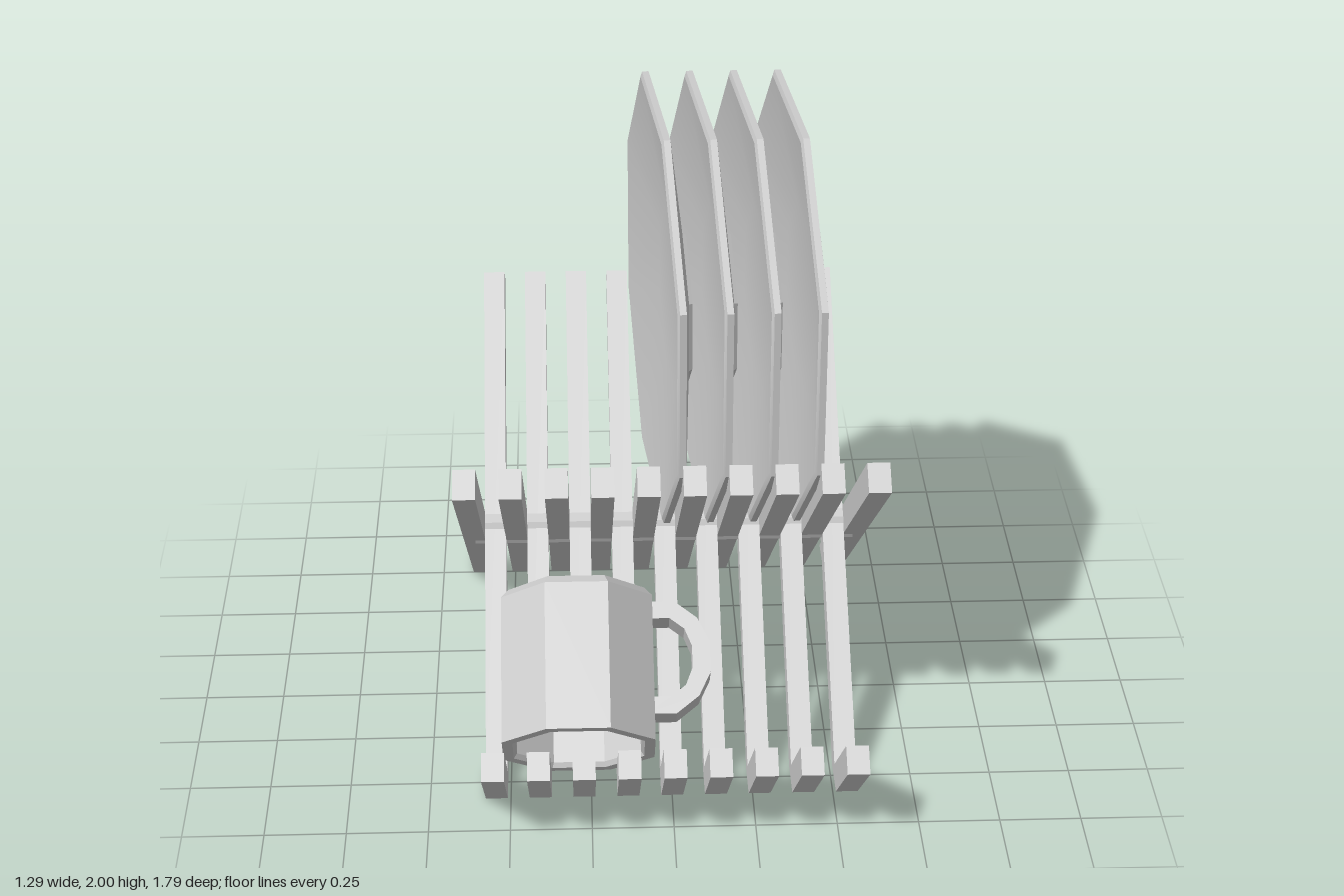
import * as THREE from 'three';
import { toCreasedNormals } from 'three/addons/utils/BufferGeometryUtils.js';

const material = new THREE.MeshStandardMaterial({ color: 0xcccccc });
const PITCH = 0.136; // spacing of slats and plates
const SLAT = PITCH / 2;

const toShape = (pts) => new THREE.Shape(pts.map(([a, b]) => new THREE.Vector2(a, b)));

function addMesh(parent, name, geometry) {
  const mesh = new THREE.Mesh(geometry, material);
  mesh.name = name;
  parent.add(mesh);
  return mesh;
}

// Slat cut from a (z, y) side outline, centred on x
function slatGeometry(outline) {
  const g = new THREE.ExtrudeGeometry(toShape(outline), { depth: SLAT, bevelEnabled: false });
  return g.rotateY(-Math.PI / 2).translate(SLAT / 2, 0, 0);
}

// Eight-sided turned form; profile radii are measured to the flats
function octagonLathe(profile) {
  const k = 1 / Math.cos(Math.PI / 8);
  const pts = profile.map(([r, y]) => new THREE.Vector2(r * k, y));
  return toCreasedNormals(new THREE.LatheGeometry(pts, 8, Math.PI / 8), 0.4);
}

function addRow(parent, name, geometry, count) {
  for (let i = 0; i < count; i++) {
    addMesh(parent, name, geometry).position.x = (i - (count - 1) / 2) * PITCH;
  }
}

function createRack() {
  const rack = new THREE.Group();
  rack.name = 'dishRack';
  // Straight slats, rising to the front
  addRow(rack, 'straightSlat', slatGeometry([
    [-0.89, 0], [-0.75, 0], [0.58, 1.07], [0.505, 1.13],
  ]), 10);
  // Hooked slats, rising to the back, with a short lip at the front
  addRow(rack, 'hookedSlat', slatGeometry([
    [0.445, 0], [0.585, 0], [0.9, 0.29], [0.83, 0.345],
    [0.514, 0.053], [-0.82, 1.13], [-0.895, 1.07],
  ]), 9);
  // Pivot rod through the crossing
  const rod = new THREE.CylinderGeometry(0.055, 0.055, 1.22, 8).rotateZ(Math.PI / 2);
  addMesh(rack, 'pivotRod', toCreasedNormals(rod, 0.4)).position.set(0, 0.537, -0.157);
  return rack;
}

function createPlates() {
  const plates = new THREE.Group();
  plates.name = 'plates';
  const geometry = octagonLathe([
    [0, 0.02], [0.27, 0.02], [0.635, -0.04], [0.65, -0.034], [0.65, -0.014],
    [0.275, 0.042], [0.268, 0.054], [0, 0.054],
  ]).rotateZ(-Math.PI / 2);
  for (let i = 0; i < 4; i++) {
    const plate = addMesh(plates, 'plate', geometry);
    plate.position.set(i * PITCH, 1.35, -0.16);
    plate.rotation.y = 0.09;
  }
  return plates;
}

function createMug() {
  const mug = new THREE.Group();
  mug.name = 'mug';
  // Body, mouth at y = 0 and base at the top
  addMesh(mug, 'mugBody', octagonLathe([
    [0, 0.44], [0.17, 0.44], [0.19, 0.42], [0.19, 0.015], [0.2, 0],
    [0.232, 0], [0.232, 0.46], [0.208, 0.488], [0, 0.488],
  ]));
  // Angular C-shaped handle
  const half = [[0.2, 0.18], [0.3, 0.18], [0.37, 0.125], [0.407, 0.05]];
  const innerHalf = [[0.2, 0.125], [0.285, 0.125], [0.33, 0.09], [0.352, 0.035]];
  const flip = (pts) => pts.map(([x, y]) => [x, -y]);
  const outline = [...half, ...flip(half).reverse(), ...flip(innerHalf), ...innerHalf.slice().reverse()];
  const handle = new THREE.ExtrudeGeometry(toShape(outline), { depth: 0.095, bevelEnabled: false });
  addMesh(mug, 'mugHandle', handle.translate(0, 0.275, -0.0475));
  // Lies mouth-down against the front lip
  mug.position.set(-0.287, 0.235, 0.667);
  mug.rotation.x = -0.892;
  return mug;
}

export function createModel() {
  const model = new THREE.Group();
  model.name = 'dishRackWithDishes';
  model.add(createRack(), createPlates(), createMug());
  return model;
}
